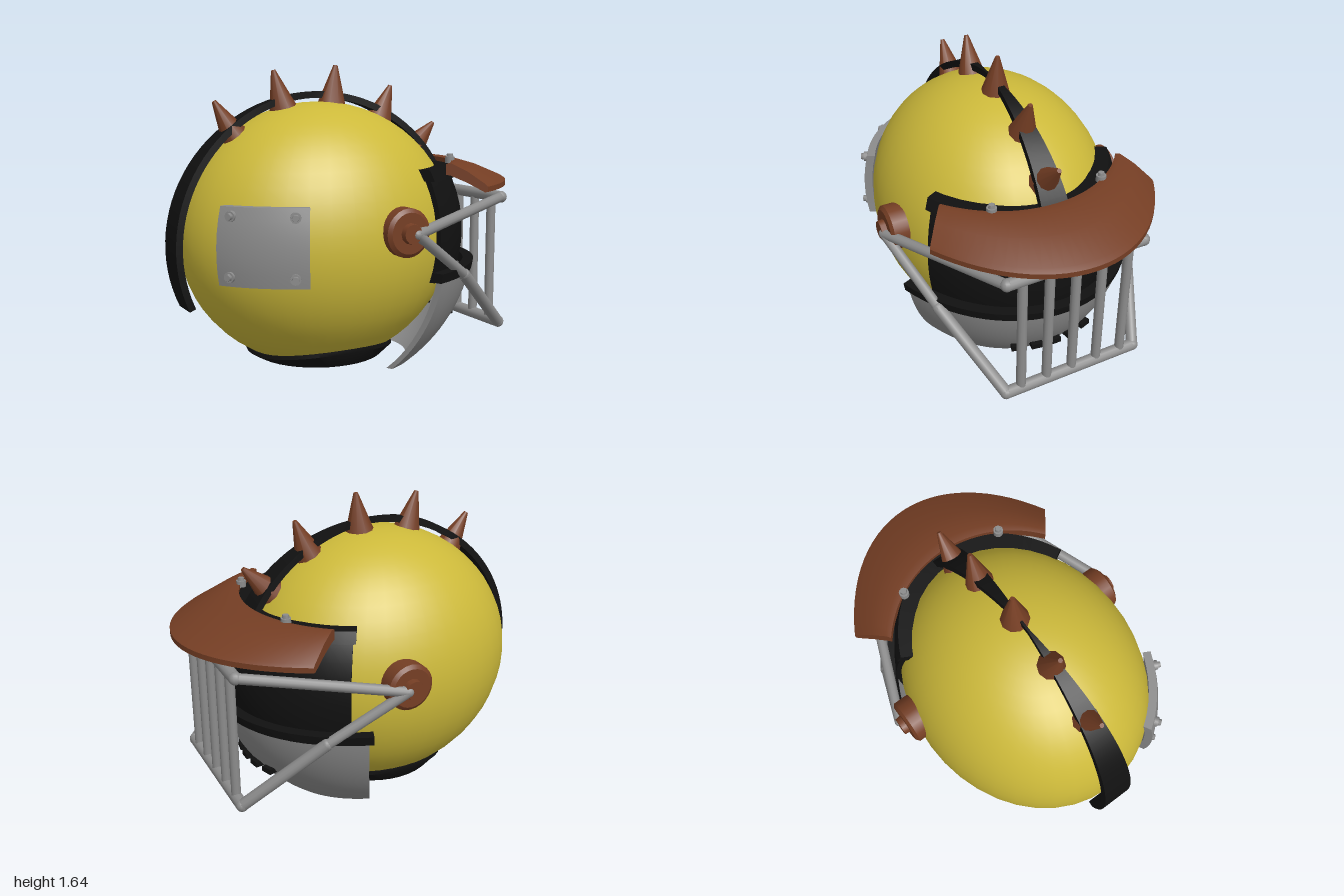
import * as THREE from 'three';
import { toCreasedNormals } from 'three/addons/utils/BufferGeometryUtils.js';

const V = (x, y, z) => new THREE.Vector3(x, y, z);
const mat = (name, color, side = THREE.FrontSide) => {
  const m = new THREE.MeshStandardMaterial({ color, side });
  m.name = name;
  return m;
};
const CENTRE = V(-0.15, 0.73, 0); // middle of the ellipsoidal shell
const rad = THREE.MathUtils.degToRad;

// Joins equal cross-sections (outer points forward, inner points back) into a solid.
function loft(rings, closed = false) {
  const tris = [];
  const quad = (a, b, c, d) => tris.push([a, b, c], [a, c, d]);
  const n = rings[0].length, last = rings.length - 1;
  for (let i = 0; i < (closed ? last + 1 : last); i++) {
    const p = rings[i], q = rings[(i + 1) % rings.length];
    for (let j = 0; j < n; j++) {
      const k = (j + 1) % n;
      quad(p[j], p[k], q[k], q[j]);
    }
  }
  if (!closed) {
    const a = rings[0], b = rings[last];
    for (let j = 0; j < n / 2 - 1; j++) {
      quad(a[n - 1 - j], a[n - 2 - j], a[j + 1], a[j]);
      quad(b[j], b[j + 1], b[n - 2 - j], b[n - 1 - j]);
    }
  }
  // Turn the solid outward if its volume is negative
  let vol = 0;
  for (const [a, b, c] of tris) vol += a.dot(b.clone().cross(c));
  const pts = tris.flatMap(t => (vol < 0 ? [t[0], t[2], t[1]] : t));
  return toCreasedNormals(new THREE.BufferGeometry().setFromPoints(pts), 0.7);
}

// Point on an ellipsoid round the shell centre, at height y and angle a from the front.
function onEllipsoid([rx, ry, rz], y, a, inset = 0) {
  const s = Math.sqrt(Math.max(0, 1 - ((y - CENTRE.y) / ry) ** 2));
  return V(CENTRE.x + (rx * s - inset) * Math.cos(a), y, (rz * s - inset) * Math.sin(a));
}

// Curved plate lying on an ellipsoid between two heights and two angles (degrees).
function patch(radii, y0, y1, a0, a1, thick, rows = 8, cols = 28) {
  const rings = [];
  for (let i = 0; i <= cols; i++) {
    const a = rad(a0 + (a1 - a0) * i / cols), outer = [], inner = [];
    for (let j = 0; j <= rows; j++) {
      const y = y0 + (y1 - y0) * j / rows;
      outer.push(onEllipsoid(radii, y, a));
      inner.unshift(onEllipsoid(radii, y, a, thick));
    }
    rings.push([...outer, ...inner]);
  }
  return loft(rings);
}

export function createModel() {
  const yellow = mat('yellow shell paint', 0xccb93a);
  const black = mat('black rubber', 0x111111);
  const brown = mat('rusty brown', 0x753e24);
  const grey = mat('grey steel', 0x8c8c8c);
  const model = new THREE.Group();
  model.name = 'spikedHelmet';

  const add = (name, geo, material) => {
    const m = new THREE.Mesh(geo, material);
    m.name = name;
    model.add(m);
    return m;
  };
  // Cylinder or cone running from one point to another
  const rod = (name, a, b, r0, r1, material, sides = 12) => {
    const d = b.clone().sub(a);
    const m = add(name, new THREE.CylinderGeometry(r1, r0, d.length(), sides), material);
    m.position.copy(a).addScaledVector(d, 0.5);
    m.quaternion.setFromUnitVectors(V(0, 1, 0), d.normalize());
    return m;
  };
  const joint = (p, r) => add('cageJoint', new THREE.SphereGeometry(r, 12, 8), grey).position.copy(p);
  // Bolt with a washer
  const bolt = (p, dir) => {
    const at = t => p.clone().addScaledVector(dir, t);
    rod('boltWasher', at(-0.02), at(0.015), 0.027, 0.027, grey, 12);
    rod('boltHead', at(0.01), at(0.032), 0.02, 0.017, grey, 6);
  };

  // Shell
  const shell = add('shell', new THREE.SphereGeometry(1, 40, 28), yellow);
  shell.scale.set(0.78, 0.72, 0.65);
  shell.position.copy(CENTRE);

  // Neck ring under the shell
  const neck = [];
  for (let i = 0; i < 40; i++) {
    const a = i / 40 * Math.PI * 2, c = Math.cos(a), s = Math.sin(a);
    const p = (rx, rz, y) => V(CENTRE.x + rx * c, y, rz * s);
    const top = 0.11 + 0.055 * s * s;
    neck.push([p(0.25, 0.21, 0.065), p(0.36, 0.35, 0.062), p(0.41, 0.41, top - 0.02),
      p(0.405, 0.41, top), p(0.33, 0.34, top), p(0.25, 0.21, 0.1)]);
  }
  add('neckRing', loft(neck, true), black);

  // Face panel, its upper rim and the jaw guard
  add('facePanel', patch([0.855, 0.76, 0.66], 0.5, 1.09, -60, 60, 0.1), black);
  add('facePanelRim', patch([0.88, 0.79, 0.69], 1.04, 1.1, -61, 61, 0.09, 2), black);
  add('jawGuard', patch([0.92, 0.89, 0.75], 0.02, 0.55, -65.5, 65.5, 0.035, 12), grey);
  add('jawRim', patch([0.925, 0.89, 0.76], 0.53, 0.58, -67, 67, 0.06, 2), black);

  // Jaw vents
  for (let i = -2; i <= 2; i++) {
    const a = i * 0.165;
    const vent = add('jawVent', new THREE.BoxGeometry(0.07, 0.03, 0.065), black);
    vent.position.copy(onEllipsoid([0.92, 0.89, 0.75], 0.24, a));
    vent.rotation.set(0, -a, 0);
  }

  // Crest strip, pinched at the crown
  const crest = [];
  for (let i = 0; i <= 48; i++) {
    const a = rad(25 + 178 * i / 48), c = Math.cos(a), s = Math.sin(a);
    const w = 0.004 + 0.083 * Math.abs(c);
    const p = (t, z) => V(-0.15 + (0.85 - t) * c, 0.7 + (0.805 - t) * s, z);
    crest.push([p(0, -w), p(0, w), p(0.036, w), p(0.036, -w)]);
  }
  add('crestStrip', loft(crest), black);

  // Spikes along the crest: base and tip
  for (const [bx, by, tx, ty] of [
    [-0.63, 1.26, -0.75, 1.455], [-0.355, 1.4, -0.415, 1.615], [-0.065, 1.43, -0.04, 1.645],
    [0.235, 1.34, 0.315, 1.535], [0.46, 1.17, 0.61, 1.32],
  ]) rod('crestSpike', V(bx, by, 0), V(tx, ty, 0), 0.08, 0.012, brown, 10);

  // Brim: crescent sloping down and outward
  const brim = [];
  for (let i = 0; i <= 28; i++) {
    const a = rad(-49.2 + 98.4 * i / 28), c = Math.cos(a), s = Math.sin(a);
    const inner = V(-0.15 + 0.75 * c, 0, 0.68 * s);
    const outer = V(-0.39 + 1.385 * c, 0, 0.86 * s);
    const p = (t, y) => inner.clone().lerp(outer, t).setY(y);
    brim.push([p(0, 1.125), p(0.12, 1.13), p(0.5, 1.09), p(0.93, 1.025), p(1, 1.01),
      p(1, 0.982), p(0.93, 0.98), p(0.5, 1.03), p(0.12, 1.065), p(0, 1.07)]);
  }
  add('brim', loft(brim), brown);

  // Face cage
  const X = 0.815, TOP = 0.91, LOW = 0.185, HALF = 0.39;
  for (const y of [TOP, LOW]) rod('cageCrossBar', V(X, y, -HALF), V(X, y, HALF), 0.033, 0.033, grey);
  for (let i = -2; i <= 2; i++)
    rod('cageUpright', V(X, LOW, i * 0.152), V(X, TOP, i * 0.152), 0.026, 0.026, grey);

  for (const s of [1, -1]) {
    // Ear pivots
    rod('earDisc', V(0, 0.81, s * 0.6), V(0, 0.81, s * 0.685), 0.125, 0.125, brown, 24);
    rod('earDiscBevel', V(0, 0.81, s * 0.685), V(0, 0.81, s * 0.7), 0.125, 0.105, brown, 24);
    rod('earHub', V(0, 0.81, s * 0.69), V(0, 0.81, s * 0.73), 0.055, 0.05, brown, 12);
    // Cage arms
    const ear = V(0.03, 0.805, s * 0.715), knee = V(0.42, 0.54, s * 0.585);
    const high = V(X, TOP, s * HALF), low = V(X, LOW, s * HALF);
    rod('cageUpperArm', ear, high, 0.028, 0.028, grey);
    rod('cageLowerArm', ear, knee, 0.028, 0.028, grey);
    rod('cageJawArm', knee, low, 0.032, 0.032, grey);
    joint(ear, 0.028);
    joint(knee, 0.032);
    joint(high, 0.034);
    joint(low, 0.034);
    // Brim bolts
    bolt(V(0.51, 1.13, s * 0.315), V(0, 1, 0));
  }

  // Riveted repair plate on the left rear
  const plate = [0.83, 0.8, 0.7];
  add('repairPlate', patch(plate, 0.57, 0.96, 116.5, 151.6, 0.045, 6, 10), grey);
  for (const y of [0.62, 0.915]) for (const deg of [121.5, 146]) {
    const a = rad(deg);
    bolt(onEllipsoid(plate, y, a), V(Math.cos(a) / 0.83, 0, Math.sin(a) / 0.7).normalize());
  }
  return model;
}
